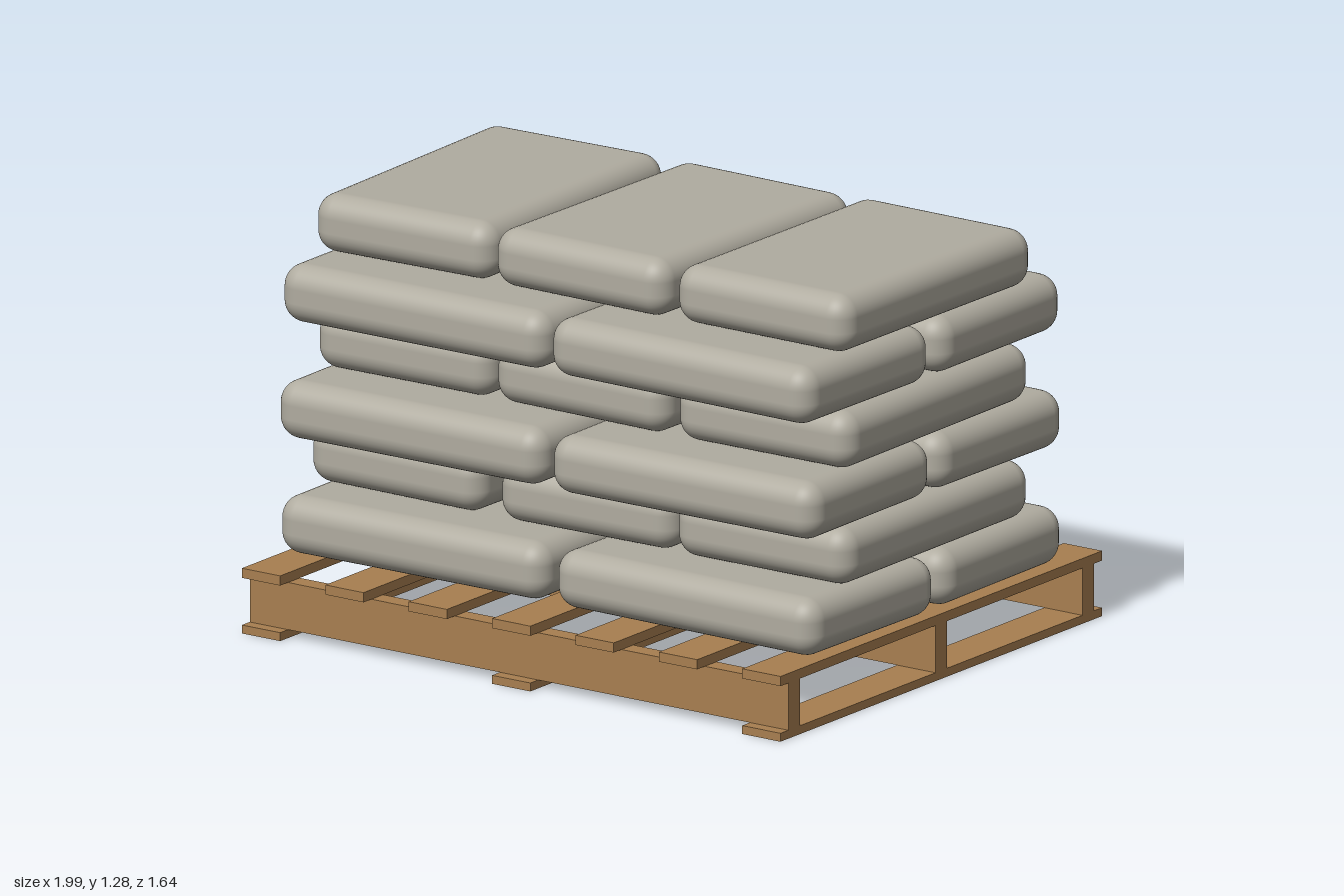
import * as THREE from 'three';
import { RoundedBoxGeometry } from 'three/addons/geometries/RoundedBoxGeometry.js';

export function createModel() {
  const model = new THREE.Group();
  model.name = 'palletOfSacks';
  const wood = new THREE.MeshStandardMaterial({ color: 0xa87f50 });
  wood.name = 'wood';
  const cloth = new THREE.MeshStandardMaterial({ color: 0xb0aca0 });
  cloth.name = 'sackCloth';

  // Pallet: deck slats, stringers and bottom boards
  const pallet = new THREE.Group();
  pallet.name = 'pallet';
  const board = (name, w, h, d, x, y, z) => {
    const mesh = new THREE.Mesh(new THREE.BoxGeometry(w, h, d), wood);
    mesh.name = name;
    mesh.position.set(x, y, z);
    pallet.add(mesh);
  };
  for (let i = -3; i <= 3; i++) board('deckSlat', 0.14, 0.03, 1.64, i * 0.305, 0.187, 0);
  for (const i of [-1, 0, 1]) {
    board('stringer', 1.97, 0.146, 0.06, 0, 0.099, i * 0.75);
    board('bottomBoard', 0.14, 0.026, 1.64, i * 0.915, 0.013, 0);
  }
  model.add(pallet);

  // Sacks: layers alternate between a 2 x 2 and a 3 x 1 arrangement
  const sackGeometry = new RoundedBoxGeometry(0.97, 0.18, 0.64, 5, 0.068);
  // Each sack is [x, z, turn], in layers from the bottom up
  const layers = [
    [[-0.51, 0.325, 0.012], [0.503, 0.33, -0.018], [-0.505, -0.33, 0.008], [0.5, -0.325, 0.012]],
    [[-0.673, 0, -0.016], [0.01, 0, 0.02], [0.66, 0, 0.006]],
    [[-0.505, 0.34, 0.008], [0.495, 0.34, 0.01], [-0.5, -0.335, -0.01], [0.495, -0.335, -0.016]],
    [[-0.657, 0, 0.016], [0.005, 0, -0.02], [0.662, 0, 0.012]],
    [[-0.495, 0.335, 0.004], [0.495, 0.345, -0.016], [-0.48, -0.33, 0.012], [0.495, -0.325, 0.004]],
    [[-0.667, 0, 0.032], [0.003, 0, -0.02], [0.665, 0, -0.01]],
  ];
  layers.forEach((sacks, level) => {
    const layer = new THREE.Group();
    layer.name = 'sackLayer' + (level + 1);
    layer.position.y = 0.295 + level * 0.18;
    for (const [x, z, turn] of sacks) {
      const sack = new THREE.Mesh(sackGeometry, cloth);
      sack.name = 'sack';
      sack.position.set(x, 0, z);
      sack.rotation.y = turn + (level % 2 ? Math.PI / 2 : 0);
      layer.add(sack);
    }
    model.add(layer);
  });
  return model;
}
